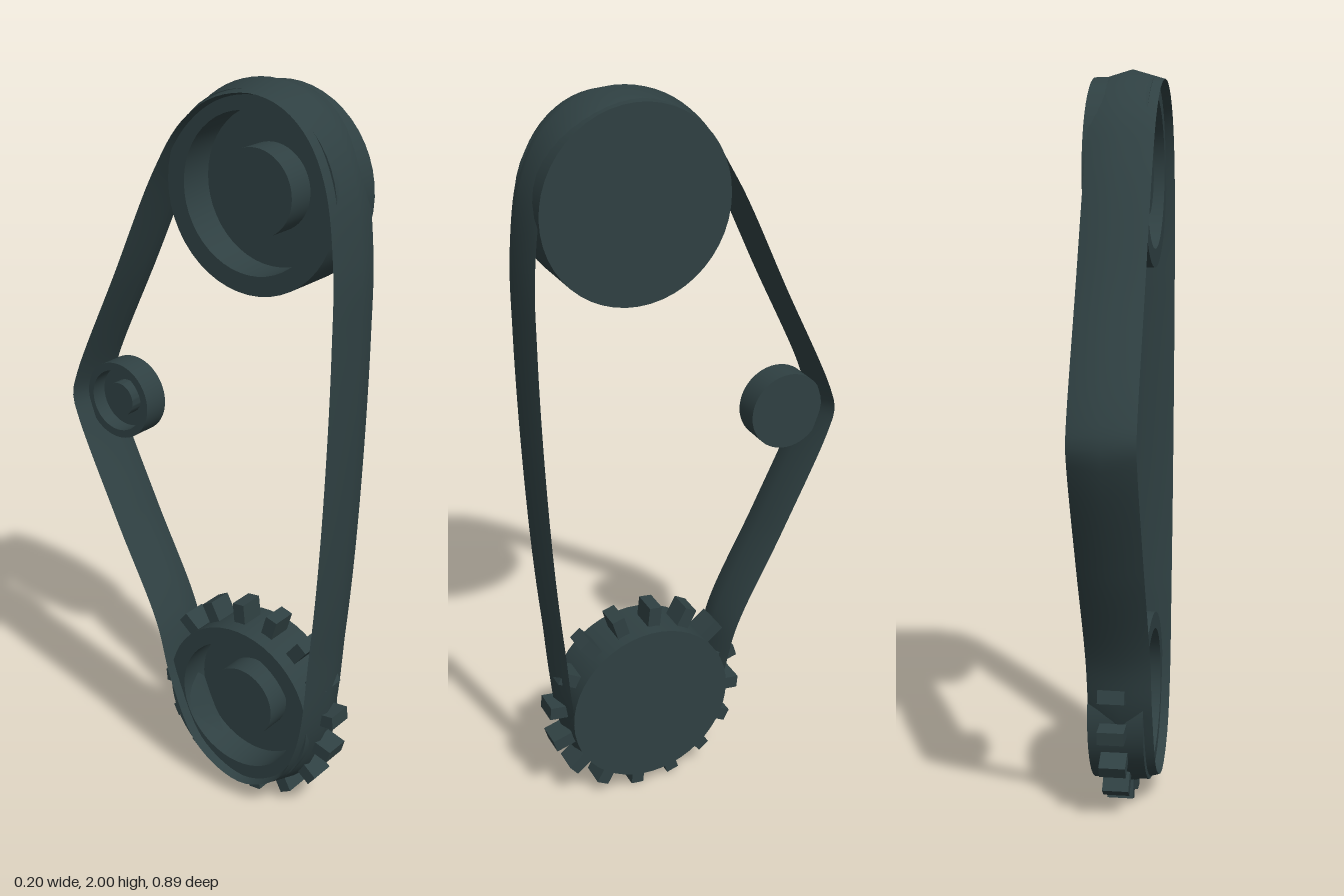
import * as THREE from 'three';
import { toCreasedNormals } from 'three/addons/utils/BufferGeometryUtils.js';

const material = new THREE.MeshStandardMaterial({ color: 0x2f4042 });

function addMesh(parent, name, geometry) {
  const mesh = new THREE.Mesh(geometry, material);
  mesh.name = name;
  parent.add(mesh);
  return mesh;
}

// Closed loop with a flat diamond cross-section, given as [z, y] points
function beltGeometry(points, halfWidth, halfThick, steps) {
  const path = new THREE.CatmullRomCurve3(
    points.map(([z, y]) => new THREE.Vector3(0, y, z)), true, 'centripetal');
  const across = new THREE.Vector3(1, 0, 0);
  const positions = [], index = [];
  for (let i = 0; i < steps; i++) {
    const p = path.getPointAt(i / steps);
    const out = path.getTangentAt(i / steps).cross(across).normalize();
    for (let k = 0; k < 4; k++) {
      const a = k * Math.PI / 2;
      const v = p.clone()
        .addScaledVector(out, halfThick * Math.cos(a))
        .addScaledVector(across, halfWidth * Math.sin(a));
      positions.push(v.x, v.y, v.z);
      const a0 = i * 4 + k, b0 = i * 4 + (k + 1) % 4;
      const a1 = ((i + 1) % steps) * 4 + k, b1 = ((i + 1) % steps) * 4 + (k + 1) % 4;
      index.push(a0, a1, b0, b0, a1, b1);
    }
  }
  const g = new THREE.BufferGeometry();
  g.setAttribute('position', new THREE.Float32BufferAttribute(positions, 3));
  g.setIndex(index);
  return toCreasedNormals(g, Math.PI / 3);
}

// Cup-shaped pulley: closed on +x, open on -x with a hub in the middle
function pulleyGeometry(r, x0, x1) {
  const width = x1 - x0, floor = x0 + width * 0.6, hub = x0 + width * 0.12;
  const profile = [
    [0, hub], [r * 0.44, hub], [r * 0.44, floor], [r * 0.8, floor],
    [r * 0.8, x0], [r, x0], [r, x1], [0, x1],
  ].map(([a, b]) => new THREE.Vector2(a, b));
  const g = new THREE.LatheGeometry(profile, 48);
  g.rotateZ(-Math.PI / 2);
  return toCreasedNormals(g, Math.PI / 6);
}

function addPulley(parent, name, y, z, r, x0, x1) {
  const group = new THREE.Group();
  group.name = name;
  group.position.set(0, y, z);
  parent.add(group);
  addMesh(group, name + 'Body', pulleyGeometry(r, x0, x1));
  return group;
}

export function createModel() {
  const model = new THREE.Group();
  model.name = 'beltDrive';
  const drive = new THREE.Group();
  drive.name = 'drive';
  drive.rotation.y = 0.018;
  model.add(drive);

  // Belt around the three wheels
  const loop = [
    [0.17, 1.975], [0.26, 1.955], [0.335, 1.895], [0.388, 1.79], [0.417, 1.6],
    [0.42, 1.4], [0.415, 1.13], [0.4, 0.8], [0.38, 0.55], [0.345, 0.25],
    [0.28, 0.12], [0.155, 0.06], [0.01, 0.12], [-0.085, 0.3], [-0.135, 0.47],
    [-0.27, 0.74], [-0.402, 1.02], [-0.42, 1.085], [-0.403, 1.15],
    [-0.26, 1.455], [-0.118, 1.755], [-0.035, 1.88], [0.06, 1.95],
  ];
  const belt = addMesh(drive, 'belt', beltGeometry(loop, 0.086, 0.025, 180));
  belt.position.x = -0.0075;

  // Wheels
  addPulley(drive, 'upperPulley', 1.73, 0.157, 0.25, -0.07, 0.09);
  addPulley(drive, 'idlerPulley', 1.08, -0.303, 0.107, -0.045, 0.03);
  const sprocket = addPulley(drive, 'lowerSprocket', 0.29, 0.13, 0.232, -0.07, 0.08);

  // Teeth around the lower wheel
  const tooth = new THREE.BoxGeometry(0.072, 0.075, 0.036);
  const teeth = 16;
  for (let i = 0; i < teeth; i++) {
    const a = 0.11 + (i / teeth) * Math.PI * 2;
    const mesh = addMesh(sprocket, 'tooth', tooth);
    mesh.position.set(0.01, Math.cos(a) * 0.25, -Math.sin(a) * 0.25);
    mesh.rotation.x = -a;
  }
  return model;
}
